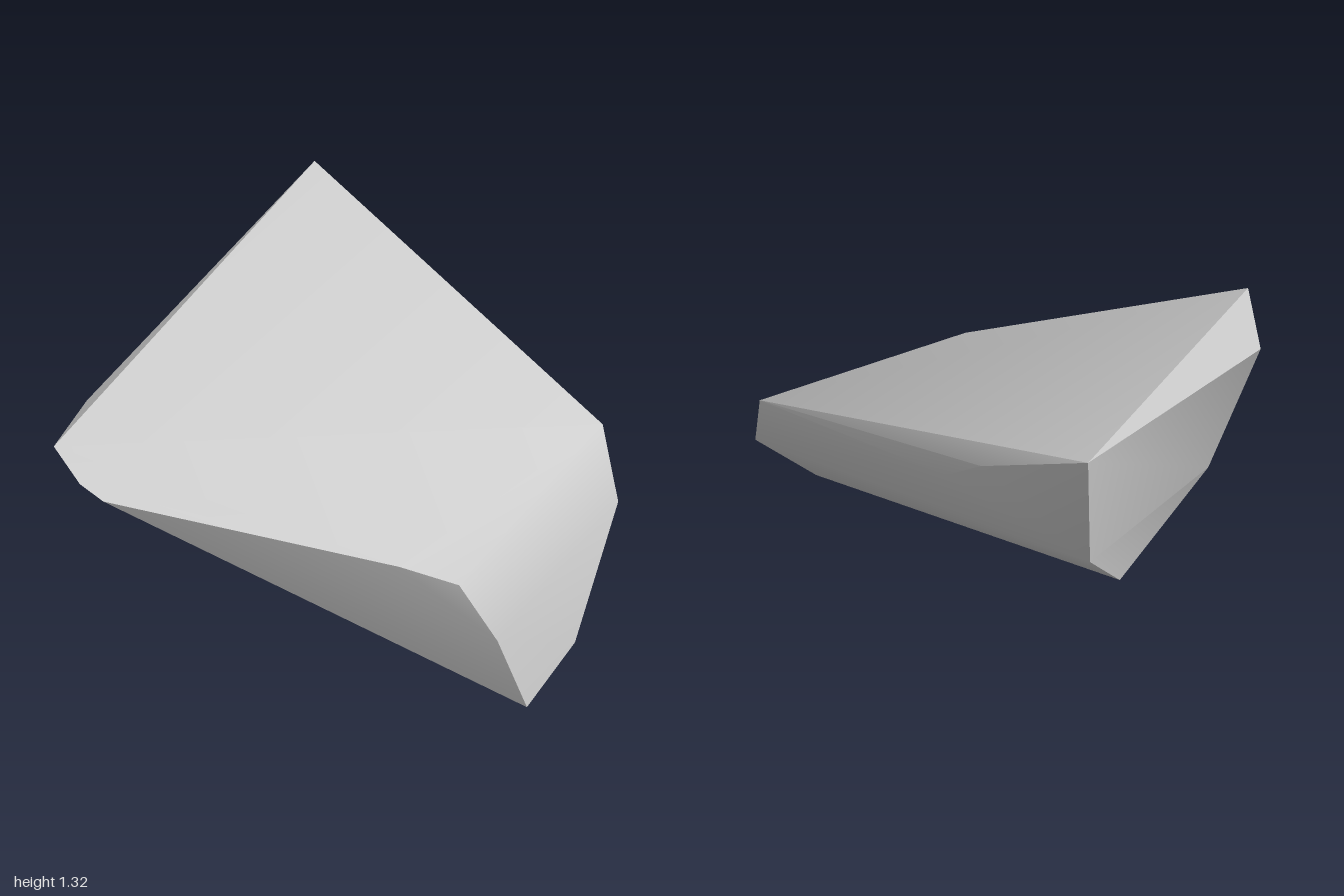
import * as THREE from 'three';
import { ConvexGeometry } from 'three/addons/geometries/ConvexGeometry.js';
import { toCreasedNormals } from 'three/addons/utils/BufferGeometryUtils.js';

// Corners of the chipped stone, grouped by the side they bound
const corners = [
  // tall tip and front end of the flat top
  [-0.96, 1.32, -1.0], [-0.22, 0.80, 0.98], [-0.50, 0.795, 0.615],
  [-0.08, 0.72, 1.0], [0, 0.68, 0.98],
  // bevelled side
  [0.73, 0.69, -0.58], [0.845, 0.46, -0.52], [0.72, 0.515, 0.47], [0.85, 0.455, 0.35],
  [0.925, 0.26, 0.25], [0.93, 0.10, -0.17], [0.96, 0, 0.13],
  // rounded back
  [-0.57, 1.13, -0.95], [-0.40, 1.01, -0.905], [-0.87, 0.90, -0.86],
  // underside
  [-0.76, 0.615, -0.56], [-0.68, 0.575, -0.45], [-0.61, 0.595, 0.14],
];

export function createModel() {
  const group = new THREE.Group();
  group.name = 'stone';

  const stoneGrey = new THREE.MeshStandardMaterial({ color: 0xcacaca });
  stoneGrey.name = 'pale stone grey';

  // Convex shard: gentle bevels stay smooth, hard chips stay sharp
  const hull = new ConvexGeometry(corners.map((p) => new THREE.Vector3(...p)));
  const shard = new THREE.Mesh(toCreasedNormals(hull, 0.82), stoneGrey);
  shard.name = 'rockShard';
  group.add(shard);

  return group;
}
